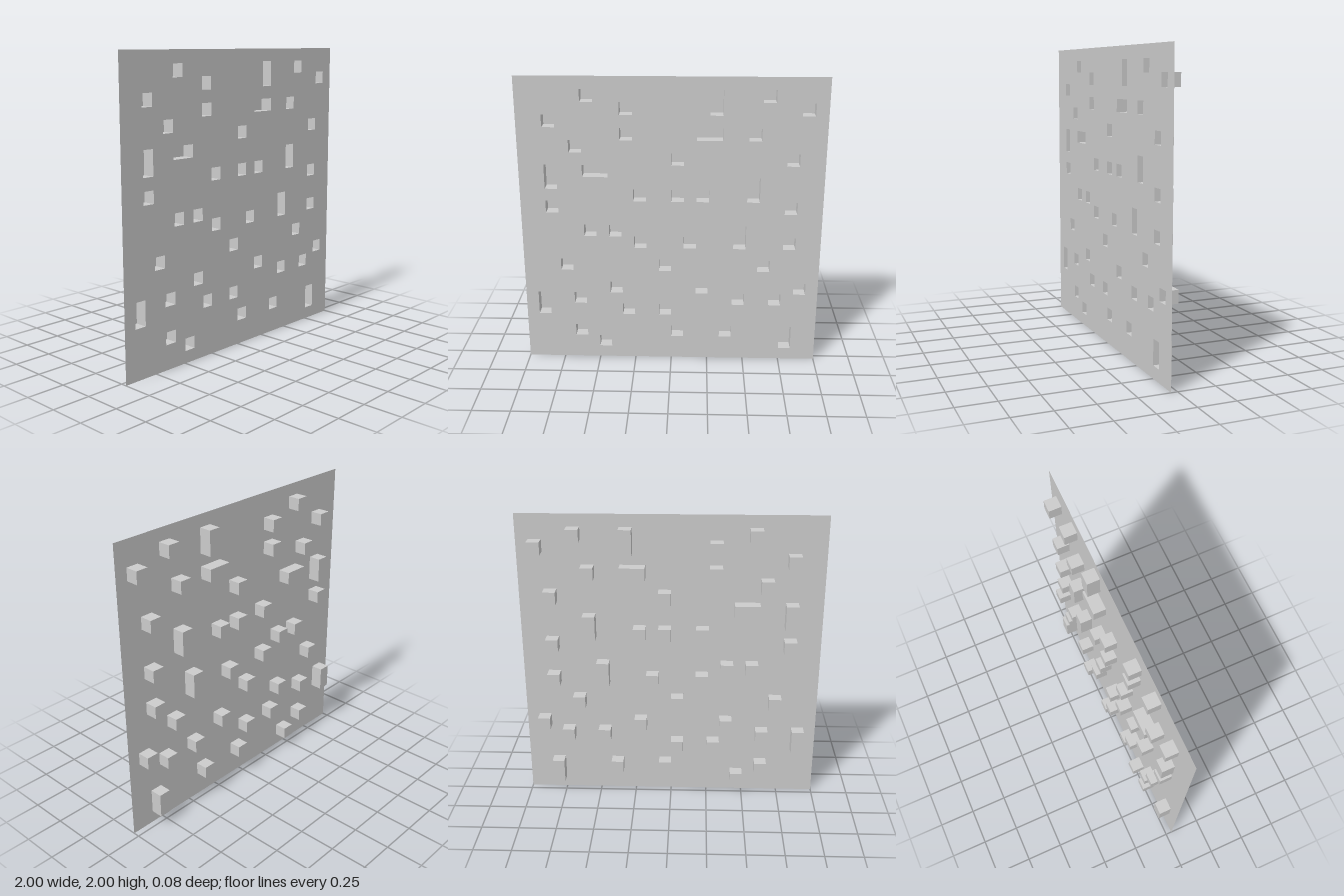
import * as THREE from 'three';

const CELL = 2 / 24; // the panel is laid out on a 24 x 24 grid
const FRONT = CELL / 2;

// Single-cell pockets: row from the bottom -> columns
const singles = {
  22: [5, 19], 21: [8, 22], 20: [2], 19: [8, 18], 18: [4], 17: [12, 21],
  14: [9, 12, 14], 13: [2, 21], 11: [5, 7], 10: [9, 13, 21], 8: [3, 11, 19],
  6: [7, 14, 22], 5: [4, 17, 20], 4: [8, 11], 2: [4, 12, 16], 1: [6],
};
// Two-cell pockets: [column, row]
const tall = [[15, 21], [2, 15], [18, 14], [17, 10], [1, 4], [21, 1]];
const wide = [[14, 19], [5, 16]];

function listPockets() {
  const list = [];
  const add = (col, row, w, h) =>
    list.push({ x: col * CELL - 1, y: row * CELL, w: w * CELL, h: h * CELL });
  for (const [row, cols] of Object.entries(singles)) cols.forEach((c) => add(c, Number(row), 1, 1));
  tall.forEach(([c, r]) => add(c, r, 1, 2));
  wide.forEach(([c, r]) => add(c, r, 2, 1));
  return list;
}

function rectangle(path, x, y, w, h) {
  path.moveTo(x, y).lineTo(x + w, y).lineTo(x + w, y + h).lineTo(x, y + h).closePath();
  return path;
}

// Box without its front (+z) face
function openBox(w, h, d) {
  const geometry = new THREE.BoxGeometry(w, h, d);
  const index = Array.from(geometry.index.array).filter((_, i) => i < 24 || i >= 30);
  geometry.setIndex(index);
  geometry.clearGroups();
  return geometry;
}

export function createModel() {
  const model = new THREE.Group();
  model.name = 'pocketedPanel';
  const material = new THREE.MeshStandardMaterial({ color: 0xcccccc, side: THREE.DoubleSide });
  const pockets = listPockets();

  // Thin sheet with an opening for each pocket
  const outline = rectangle(new THREE.Shape(), -1, 0, 2, 2);
  pockets.forEach((p) => outline.holes.push(rectangle(new THREE.Path(), p.x, p.y, p.w, p.h)));
  const sheet = new THREE.Mesh(new THREE.ShapeGeometry(outline), material);
  sheet.name = 'sheet';
  sheet.position.z = FRONT;
  model.add(sheet);

  // Pockets, open at the front and standing out at the back
  const pocketGroup = new THREE.Group();
  pocketGroup.name = 'pockets';
  for (const p of pockets) {
    const pocket = new THREE.Mesh(openBox(p.w, p.h, CELL), material);
    pocket.name = 'pocket';
    pocket.position.set(p.x + p.w / 2, p.y + p.h / 2, 0);
    pocketGroup.add(pocket);
  }
  model.add(pocketGroup);
  return model;
}
